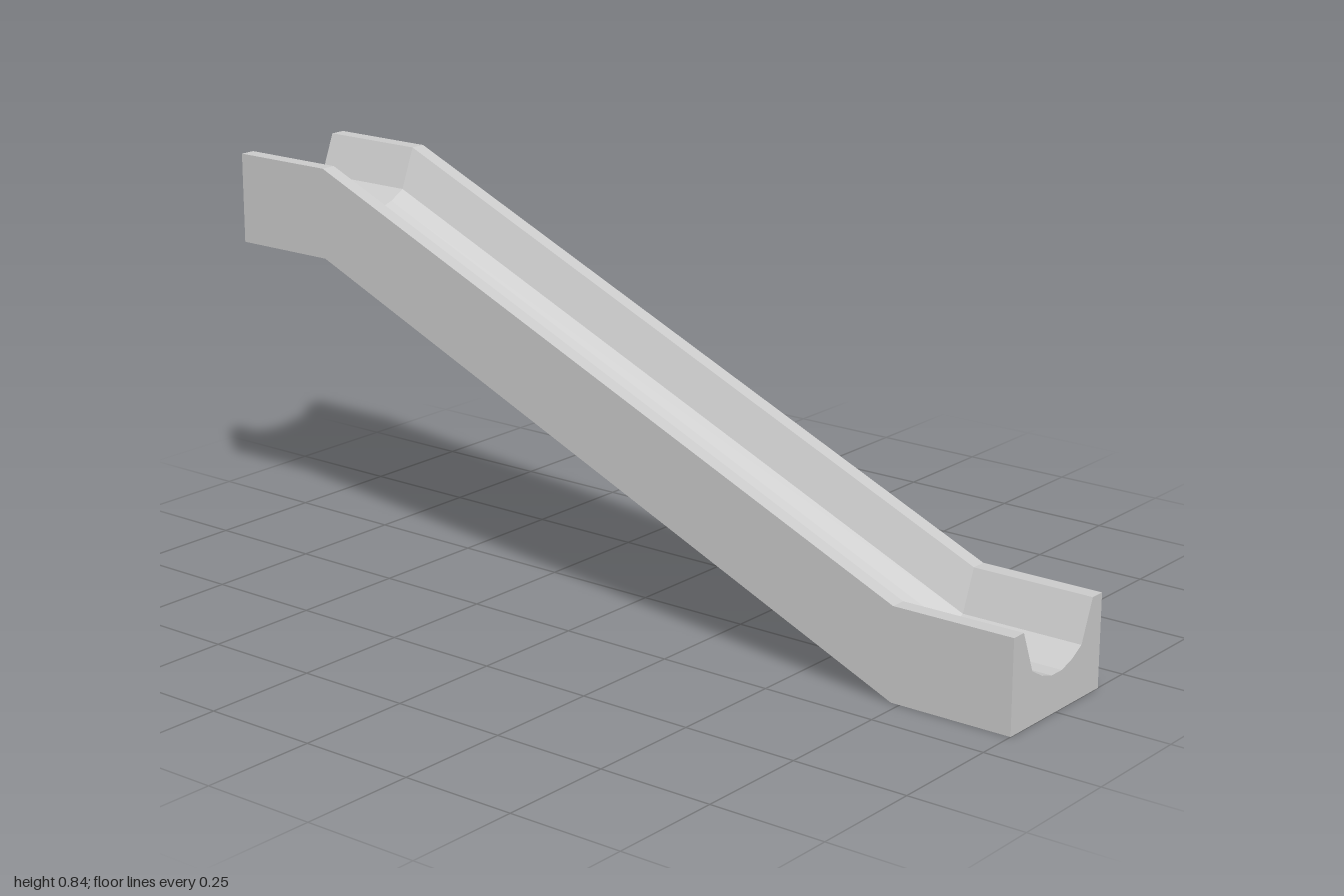
import * as THREE from 'three';

// Right half of the channel cross-section, from outer bottom to channel floor
const HALF = [
  [0.157, 0], [0.157, 0.197], [0.123, 0.197],
  [0.088, 0.11], [0.052, 0.09], [0.018, 0.08],
];

// Stations along the chute, back to front: [z, height of the underside]
const STATIONS = [[-1, 0.644], [-0.755, 0.644], [0.73, 0], [1, 0]];

export function createModel() {
  const group = new THREE.Group();
  group.name = 'slide';

  const mirrored = HALF.map(([x, y]) => [-x, y]).reverse();
  const profile = new THREE.Shape(
    [...HALF, ...mirrored].map(([x, y]) => new THREE.Vector2(x, y))
  );

  // One extrusion step per section, so each z is a station index
  const sections = STATIONS.length - 1;
  const geometry = new THREE.ExtrudeGeometry(profile, {
    depth: sections, steps: sections, bevelEnabled: false,
  });

  // Shear the sections into top landing, slope and bottom run-out
  const pos = geometry.attributes.position;
  for (let i = 0; i < pos.count; i++) {
    const [z, lift] = STATIONS[Math.round(pos.getZ(i))];
    pos.setXYZ(i, pos.getX(i), pos.getY(i) + lift, z);
  }
  geometry.computeVertexNormals();

  const chute = new THREE.Mesh(
    geometry,
    new THREE.MeshStandardMaterial({ color: 0xcccccc, flatShading: true })
  );
  chute.name = 'chute';
  group.add(chute);
  return group;
}
